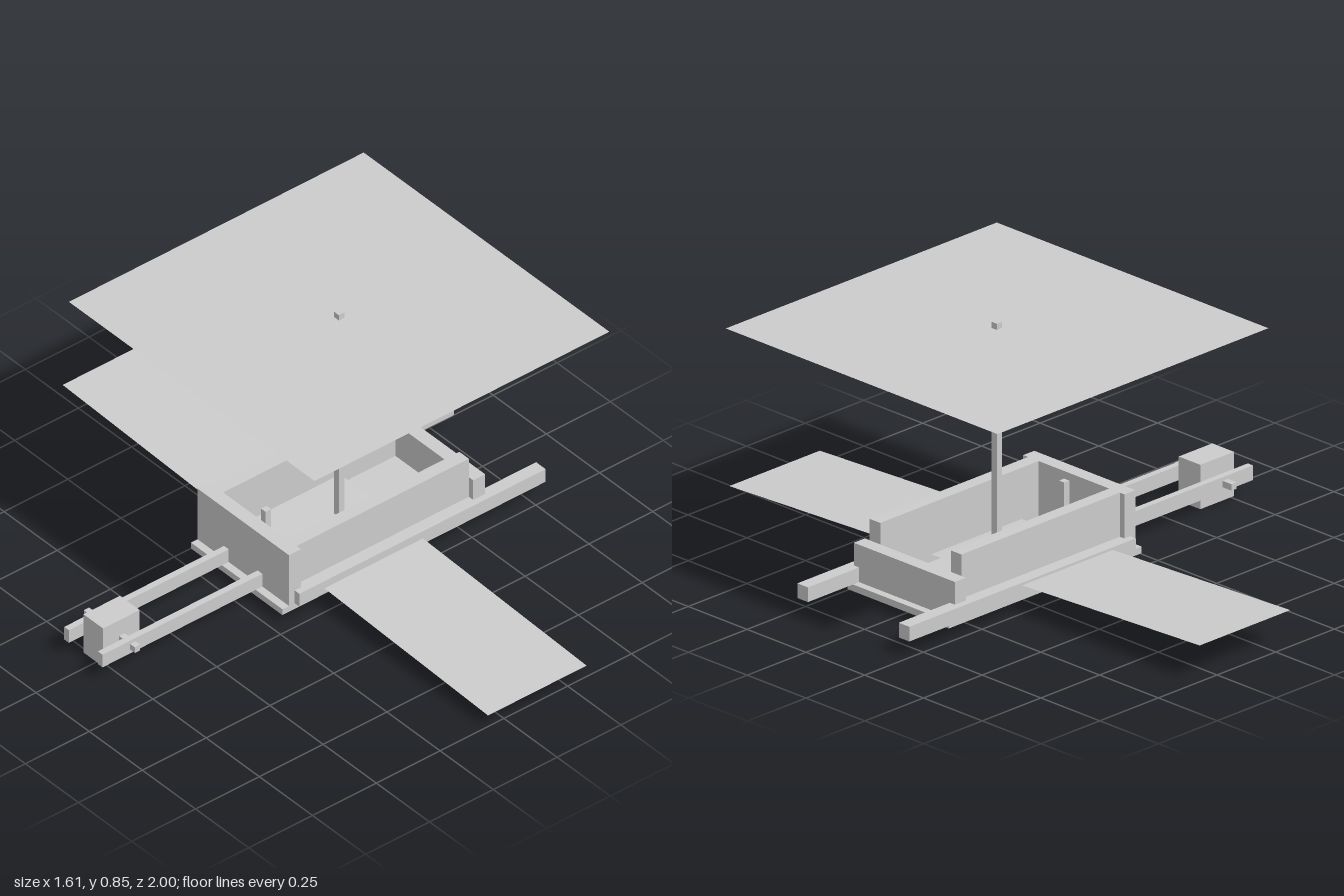
import * as THREE from 'three';

export function createModel() {
  const model = new THREE.Group();
  const material = new THREE.MeshStandardMaterial({ color: 0xcccccc, flatShading: true });
  const sheetMaterial = new THREE.MeshStandardMaterial({ color: 0xcccccc, side: THREE.DoubleSide });

  // Box given by its extents along each axis
  function block(name, [x0, x1], [y0, y1], [z0, z1]) {
    const mesh = new THREE.Mesh(new THREE.BoxGeometry(x1 - x0, y1 - y0, z1 - z0), material);
    mesh.position.set((x0 + x1) / 2, (y0 + y1) / 2, (z0 + z1) / 2);
    mesh.name = name;
    model.add(mesh);
  }

  // Thin sheet, nearly level, raised by tilt towards the back
  function sheet(name, [x0, x1], [z0, z1], y, tilt = 0) {
    const geometry = new THREE.PlaneGeometry(x1 - x0, Math.hypot(z1 - z0, tilt));
    geometry.rotateX(-Math.PI / 2 + Math.atan2(tilt, z1 - z0));
    const mesh = new THREE.Mesh(geometry, sheetMaterial);
    mesh.position.set((x0 + x1) / 2, y, (z0 + z1) / 2);
    mesh.name = name;
    model.add(mesh);
  }

  // Cart bed: floor, end boards and side boards
  const width = [-0.222, 0.208];
  block('floor', [-0.208, 0.613], [0.028, 0.05], width);
  block('headboard', [-0.182, -0.135], [0.05, 0.242], width);
  block('tailboard', [0.54, 0.587], [0.05, 0.172], width);

  // Paired parts, mirrored about the cart's centre line
  const centre = -0.0075;
  for (const [side, s] of [['left', -1], ['right', 1]]) {
    const span = (a, b) => [centre + s * a, centre + s * b].sort((p, q) => p - q);
    block(side + 'SideBoard', [-0.135, 0.54], [0.05, 0.242], span(0.15, 0.195));
    block(side + 'HandleRail', [-0.16, 0.805], [0.05, 0.098], span(0.193, 0.238));
    block(side + 'ForkArm', [-0.808, -0.182], [0.05, 0.098], span(0.068, 0.09));
  }

  // Wheel block and axle
  block('wheel', [-0.763, -0.62], [0, 0.145], [-0.061, 0.031]);
  block('axle', [-0.7, -0.679], [0.065, 0.086], [-0.135, 0.105]);

  // Canopy mast and a short post inside the bed
  block('mast', [0.19, 0.212], [0.05, 0.845], [-0.026, -0.004]);
  block('post', [-0.097, -0.075], [0.05, 0.24], [-0.026, -0.004]);

  // Canopy and the long cross sheet running through the bed
  sheet('canopy', [-0.375, 0.78], [-0.595, 0.56], 0.825);
  sheet('crossSheet', [-0.062, 0.324], [-1, 1], 0.08, 0.077);

  return model;
}
